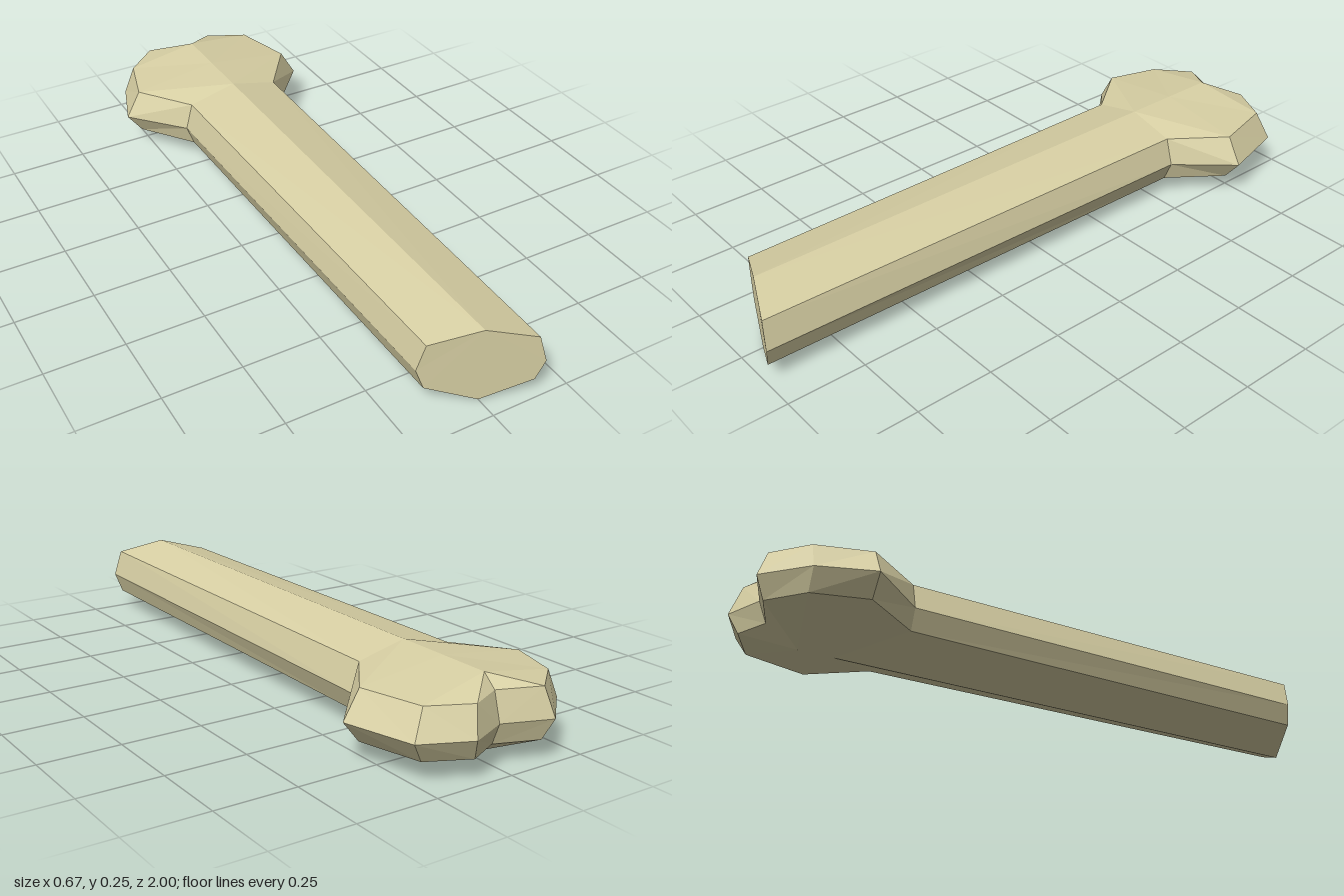
import * as THREE from 'three';

// Each station runs from the cut end to the knuckles:
// [left mid x, z], [left rim x, z], [right mid x, z], [right rim x, z], top ridge z, bottom ridge z
const STATIONS = [
  [[-0.165, 0.86], [-0.143, 0.87], [0.163, 1.0], [0.14, 0.99], 0.93, 0.93],         // cut end
  [[-0.184, -0.54], [-0.16, -0.54], [0.184, -0.54], [0.157, -0.54], -0.54, -0.54],  // neck
  [[-0.333, -0.71], [-0.284, -0.71], [0.333, -0.71], [0.281, -0.71], -0.71, -0.71], // widest point
  [[-0.272, -0.88], [-0.235, -0.877], [0.273, -0.932], [0.23, -0.908], -0.877, -0.82], // shoulders
  [[-0.147, -1.0], [-0.13, -0.97], [0.125, -1.0], [0.104, -0.97], -0.877, -0.82],   // knuckle tips
  [[0, -0.945], [0, -0.92], [0, -0.945], [0, -0.92], -0.877, -0.82],                // notch between knuckles
];
const TOP = 0.25, RIM = 0.212, MID = 0.125, LOW_RIM = 0.06;

// Eight-sided cross-section, clockwise as seen from the front
function ring([midL, rimL, midR, rimR, topZ, bottomZ]) {
  const p = ([x, z], y) => new THREE.Vector3(x, y, z);
  return [
    p([0, topZ], TOP), p(rimR, RIM), p(midR, MID), p(rimR, LOW_RIM),
    p([0, bottomZ], 0), p(rimL, LOW_RIM), p(midL, MID), p(rimL, RIM),
  ];
}

function boneGeometry() {
  const rings = STATIONS.map(ring);
  const positions = [];
  const triangle = (a, b, c) => {
    if (a.equals(b) || b.equals(c) || a.equals(c)) return; // rings close up at the notch
    for (const v of [a, b, c]) positions.push(v.x, v.y, v.z);
  };

  // Skin between neighbouring rings
  for (let i = 0; i < rings.length - 1; i++) {
    for (let k = 0; k < 8; k++) {
      const n = (k + 1) % 8;
      const a = rings[i][k], b = rings[i][n], c = rings[i + 1][n], d = rings[i + 1][k];
      // Mirror the diagonals from side to side
      if (k < 4) {
        triangle(a, b, c);
        triangle(a, c, d);
      } else {
        triangle(a, b, d);
        triangle(b, c, d);
      }
    }
  }

  // Slanted flat cut at the front
  for (let k = 1; k < 7; k++) triangle(rings[0][0], rings[0][k + 1], rings[0][k]);

  const geometry = new THREE.BufferGeometry();
  geometry.setAttribute('position', new THREE.Float32BufferAttribute(positions, 3));
  geometry.computeVertexNormals();
  return geometry;
}

export function createModel() {
  const boneMaterial = new THREE.MeshStandardMaterial({ color: 0xd8d0a4, flatShading: true });
  boneMaterial.name = 'bone';

  const bone = new THREE.Mesh(boneGeometry(), boneMaterial);
  bone.name = 'bone';

  const model = new THREE.Group();
  model.name = 'brokenBone';
  model.add(bone);
  return model;
}
